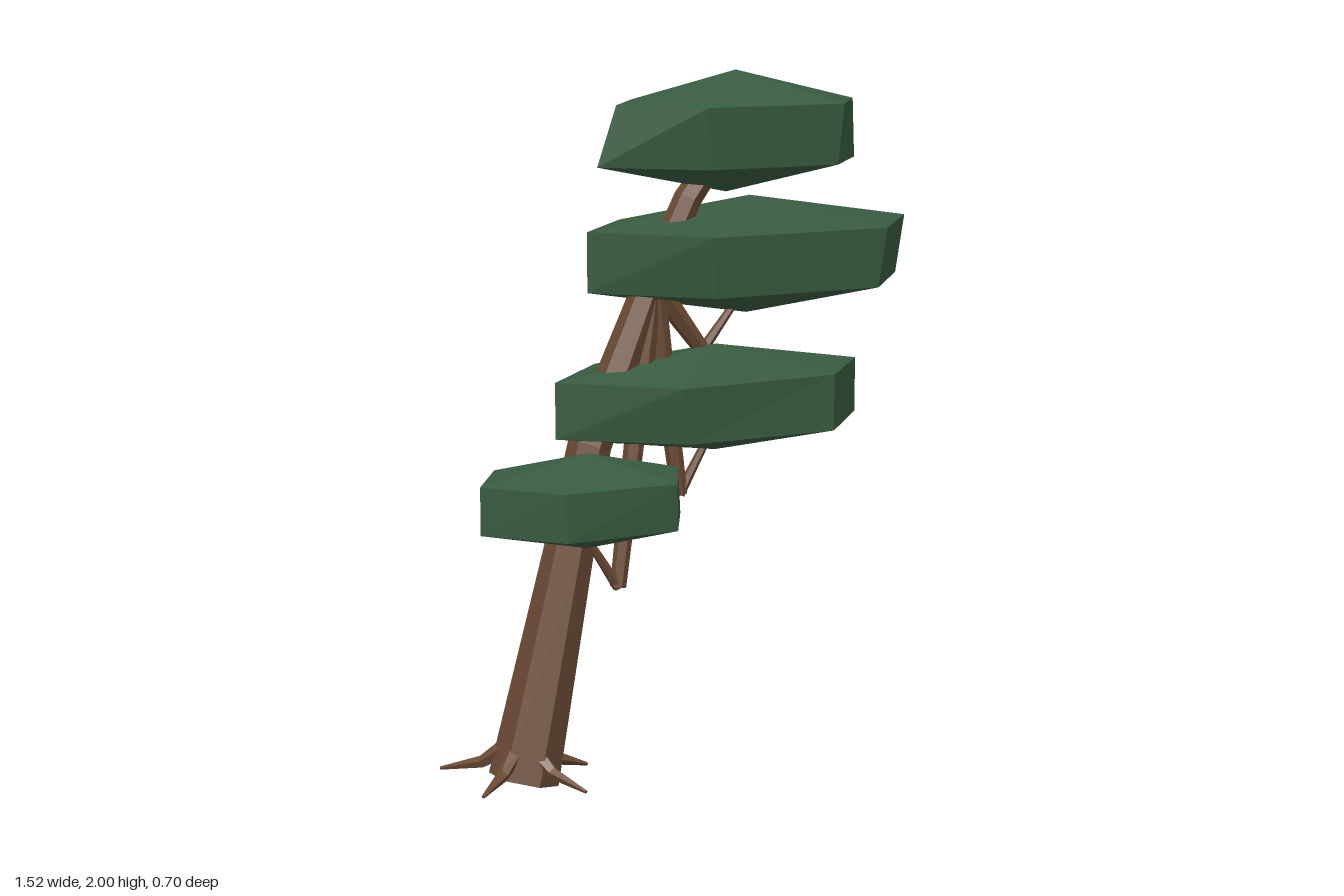
import * as THREE from 'three';

const V = (x, y, z) => new THREE.Vector3(x, y, z);

// Skin over stacked rings (clockwise seen from the end), closed by a point at each end
function loft(rings, startTip, endTip) {
  const pos = [];
  const tri = (...pts) => pts.forEach((p) => pos.push(p.x, p.y, p.z));
  const n = rings[0].length;
  const last = rings[rings.length - 1];
  for (let i = 0; i < n; i++) {
    const j = (i + 1) % n;
    for (let k = 0; k < rings.length - 1; k++) {
      const a = rings[k], b = rings[k + 1];
      tri(a[j], a[i], b[i]);
      tri(a[j], b[i], b[j]);
    }
    tri(rings[0][i], rings[0][j], startTip);
    tri(last[j], last[i], endTip);
  }
  const geo = new THREE.BufferGeometry();
  geo.setAttribute('position', new THREE.Float32BufferAttribute(pos, 3));
  geo.computeVertexNormals();
  return geo;
}

// Tapered limb along a path of [x, y, z, radius]
function limb(path, sides = 6) {
  const pts = path.map((p) => V(p[0], p[1], p[2]));
  const end = pts.length - 1;
  const main = pts[end].clone().sub(pts[0]).normalize();
  const ref = Math.abs(main.z) > 0.6 ? V(0, 1, 0) : V(0, 0, 1);
  const rings = pts.map((p, k) => {
    const t = pts[Math.min(k + 1, end)].clone().sub(pts[Math.max(k - 1, 0)]).normalize();
    const u = ref.clone().cross(t).normalize();
    const w = t.clone().cross(u);
    return Array.from({ length: sides }, (_, i) => {
      const a = (i / sides) * Math.PI * 2;
      return p.clone().addScaledVector(w, Math.cos(a) * path[k][3])
        .addScaledVector(u, Math.sin(a) * path[k][3]);
    });
  });
  return loft(rings, pts[0], pts[end]);
}

// Leaf pad: six-sided slab with a shallow peak above and below
function pad({ top, bottom, yTop, yBottom, peak, base }) {
  const ring = (pts, y) => pts.map(([x, z]) => V(x, y, z));
  return loft([ring(bottom, yBottom), ring(top, yTop)], V(...base), V(...peak));
}

export function createModel() {
  const group = new THREE.Group();
  const bark = new THREE.MeshStandardMaterial({ color: 0x6b4a34 });
  bark.name = 'bark';
  const leaf = new THREE.MeshStandardMaterial({ color: 0x385b40 });
  leaf.name = 'leaf';
  const add = (name, geo, mat) => {
    const mesh = new THREE.Mesh(geo, mat);
    mesh.name = name;
    group.add(mesh);
  };

  // Leaning trunk
  add('trunk', limb([
    [-0.567, 0.022, 0.045, 0.1], [-0.41, 0.69, 0.04, 0.07],
    [-0.345, 0.96, 0.035, 0.062], [-0.15, 1.4, 0.03, 0.045],
  ]), bark);
  add('upperTrunk', limb([[-0.18, 1.33, 0.03, 0.045], [-0.03, 1.64, 0.04, 0.04], [0.06, 1.76, 0.05, 0.035]]), bark);

  // Drooping branches fan from the fork, each with a twig rising to its pad
  const fork = [-0.14, 1.41, 0.03];
  const branches = [
    { elbow: [-0.275, 0.55, 0.07], twig: [-0.4, 0.73, 0.09] },
    { elbow: [-0.055, 0.79, 0.035], twig: [0.05, 0.97, 0.04] },
    { elbow: [0.03, 1.2, 0.02], twig: [0.16, 1.34, 0.0] },
  ];
  branches.forEach(({ elbow, twig }, i) => {
    add('branch' + (i + 1), limb([[...fork, 0.035], [...elbow, 0.023]]), bark);
    add('twig' + (i + 1), limb([[...elbow, 0.016], [...twig, 0.01]]), bark);
  });

  // Roots: angle around the trunk, reach
  const roots = [[0, 0.205], [72, 0.25], [144, 0.235], [-136, 0.245], [-73, 0.27]];
  roots.forEach(([deg, reach], i) => {
    const a = THREE.MathUtils.degToRad(deg);
    const at = (r, y, rad) => [-0.57 + Math.cos(a) * r, y, 0.045 + Math.sin(a) * r, rad];
    add('root' + (i + 1), limb([at(0.05, 0.11, 0.028), at(0.12, 0.065, 0.018), at(reach, 0.037, 0.005)], 5), bark);
  });

  // Leaf pads; corners run left, back, back, right, front, front
  const pads = {
    topPad: {
      top: [[-0.28, 0.08], [-0.11, -0.15], [0.29, -0.155], [0.5, 0.075], [0.31, 0.325], [-0.13, 0.325]],
      bottom: [[-0.335, 0.07], [-0.12, -0.15], [0.29, -0.15], [0.51, 0.07], [0.3, 0.31], [-0.11, 0.31]],
      yTop: 1.91, yBottom: 1.74, peak: [0.1, 2, 0.085], base: [0.09, 1.655, 0.05],
    },
    upperPad: {
      top: [[-0.315, -0.03], [-0.06, -0.31], [0.46, -0.315], [0.757, -0.03], [0.485, 0.285], [-0.09, 0.285]],
      bottom: [[-0.315, -0.03], [-0.05, -0.31], [0.49, -0.35], [0.73, -0.035], [0.47, 0.265], [-0.07, 0.265]],
      yTop: 1.552, yBottom: 1.38, peak: [0.21, 1.635, -0.02], base: [0.2, 1.295, -0.02],
    },
    middlePad: {
      top: [[-0.455, 0.04], [-0.19, -0.225], [0.3, -0.22], [0.54, 0.04], [0.3, 0.3], [-0.2, 0.317]],
      bottom: [[-0.455, 0.04], [-0.18, -0.22], [0.3, -0.22], [0.54, 0.04], [0.3, 0.3], [-0.17, 0.3]],
      yTop: 1.145, yBottom: 0.985, peak: [0.06, 1.22, 0.045], base: [0.06, 0.912, 0.04],
    },
    lowerPad: {
      top: [[-0.73, 0.125], [-0.585, -0.085], [-0.25, -0.08], [-0.11, 0.125], [-0.24, 0.35], [-0.58, 0.335]],
      bottom: [[-0.73, 0.125], [-0.57, -0.085], [-0.25, -0.085], [-0.1, 0.12], [-0.23, 0.335], [-0.57, 0.335]],
      yTop: 0.89, yBottom: 0.755, peak: [-0.4, 0.955, 0.125], base: [-0.4, 0.685, 0.12],
    },
  };
  for (const [name, shape] of Object.entries(pads)) add(name, pad(shape), leaf);

  return group;
}
